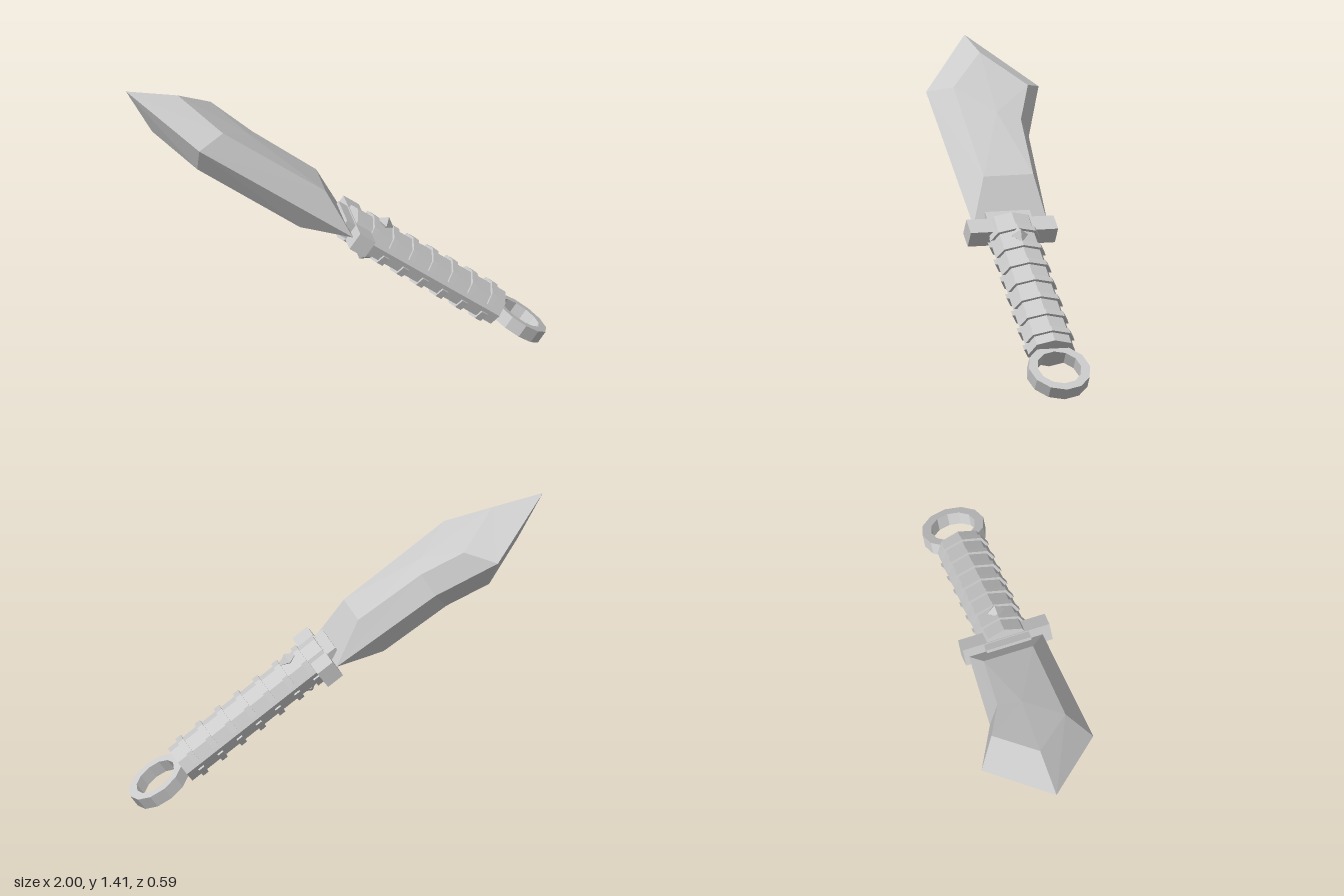
import * as THREE from 'three';

const material = new THREE.MeshStandardMaterial({ color: 0xcccccc, flatShading: true });
const AXIS = 0.078; // sideways offset of the grip, guard and ring

function mesh(name, geometry, x = 0, y = 0, z = 0) {
  const m = new THREE.Mesh(geometry, material);
  m.name = name;
  m.position.set(x, y, z);
  return m;
}

// Prism with a flat outline, standing along y from 0 to length
function prism(points, length) {
  const shape = new THREE.Shape(points.map(([x, y]) => new THREE.Vector2(x, y)));
  return new THREE.ExtrudeGeometry(shape, { depth: length, bevelEnabled: false }).rotateX(-Math.PI / 2);
}

// Cutting edge outline joined to a raised, slightly domed face on both sides
function bladeGeometry() {
  const edge = [[-0.02, 1.221], [0.26, 0.855], [0.25, -0.049], [-0.115, -0.049], [-0.165, 0.525], [-0.295, 0.855]];
  const ridge = [[-0.02, 0.993], [0.165, 0.77], [0.165, 0.168], [-0.08, 0.168], [-0.11, 0.535], [-0.2, 0.76]];
  const position = [];
  for (const s of [1, -1]) {
    const tri = (a, b, c) => position.push(...a, ...(s > 0 ? c : b), ...(s > 0 ? b : c));
    const centre = [0, 0.58, 0.118 * s];
    edge.forEach((e, i) => {
      const j = (i + 1) % edge.length;
      const a = [...e, 0], b = [...edge[j], 0];
      const c = [...ridge[j], 0.108 * s], d = [...ridge[i], 0.108 * s];
      tri(a, b, c);
      tri(a, c, d);
      tri(d, c, centre);
    });
  }
  const g = new THREE.BufferGeometry();
  g.setAttribute('position', new THREE.Float32BufferAttribute(position, 3));
  g.computeVertexNormals();
  return g;
}

export function createModel() {
  const knife = new THREE.Group();
  knife.name = 'knife';

  knife.add(mesh('blade', bladeGeometry()));

  // Guard and the block that holds the blade
  knife.add(mesh('guard', new THREE.BoxGeometry(0.43, 0.09, 0.09), AXIS, -0.095));
  knife.add(mesh('bladeSocket', new THREE.BoxGeometry(0.22, 0.08, 0.08), AXIS, -0.04));

  // Eight-sided grip
  const grip = [[0, 0.086], [-0.085, 0.062], [-0.116, 0], [-0.085, -0.062], [0, -0.086], [0.085, -0.062], [0.116, 0], [0.085, 0.062]];
  knife.add(mesh('grip', prism(grip, 0.865), AXIS, -0.92));

  // Raised bands over the upper and lower halves of the grip
  const band = [[0, 0.098], [-0.092, 0.074], [-0.121, 0.022], [-0.09, 0.022], [0.09, 0.022], [0.121, 0.022], [0.092, 0.074]];
  for (const s of [1, -1]) {
    const outline = band.map(([x, y]) => [x, y * s]);
    for (let i = 0; i < 7; i++) {
      knife.add(mesh('gripBand', prism(outline, 0.032), AXIS, -0.175 - i * 0.115));
    }
    // Pointed stud below the guard
    const stud = new THREE.OctahedronGeometry(1).scale(0.042, 0.05, 0.035);
    knife.add(mesh('stud', stud, AXIS, -0.212, 0.09 * s));
  }

  // Ring pommel
  const circle = (r) => Array.from({ length: 12 }, (_, i) => {
    const a = (i * Math.PI) / 6;
    return new THREE.Vector2(r * Math.cos(a), r * Math.sin(a));
  });
  const ring = new THREE.Shape(circle(0.15));
  ring.holes.push(new THREE.Path(circle(0.107)));
  const ringGeometry = new THREE.ExtrudeGeometry(ring, { depth: 0.064, bevelEnabled: false });
  knife.add(mesh('pommelRing', ringGeometry, AXIS, -1.047, -0.032));

  // Lean the knife: its length runs up towards -x, its width along z
  const c = Math.cos(0.611), s = Math.sin(0.611);
  const basis = new THREE.Matrix4().makeBasis(
    new THREE.Vector3(0, 0, 1), new THREE.Vector3(-c, s, 0), new THREE.Vector3(-s, -c, 0));
  knife.quaternion.setFromRotationMatrix(basis);
  knife.position.y = 0.714;

  const model = new THREE.Group();
  model.add(knife);
  return model;
}
